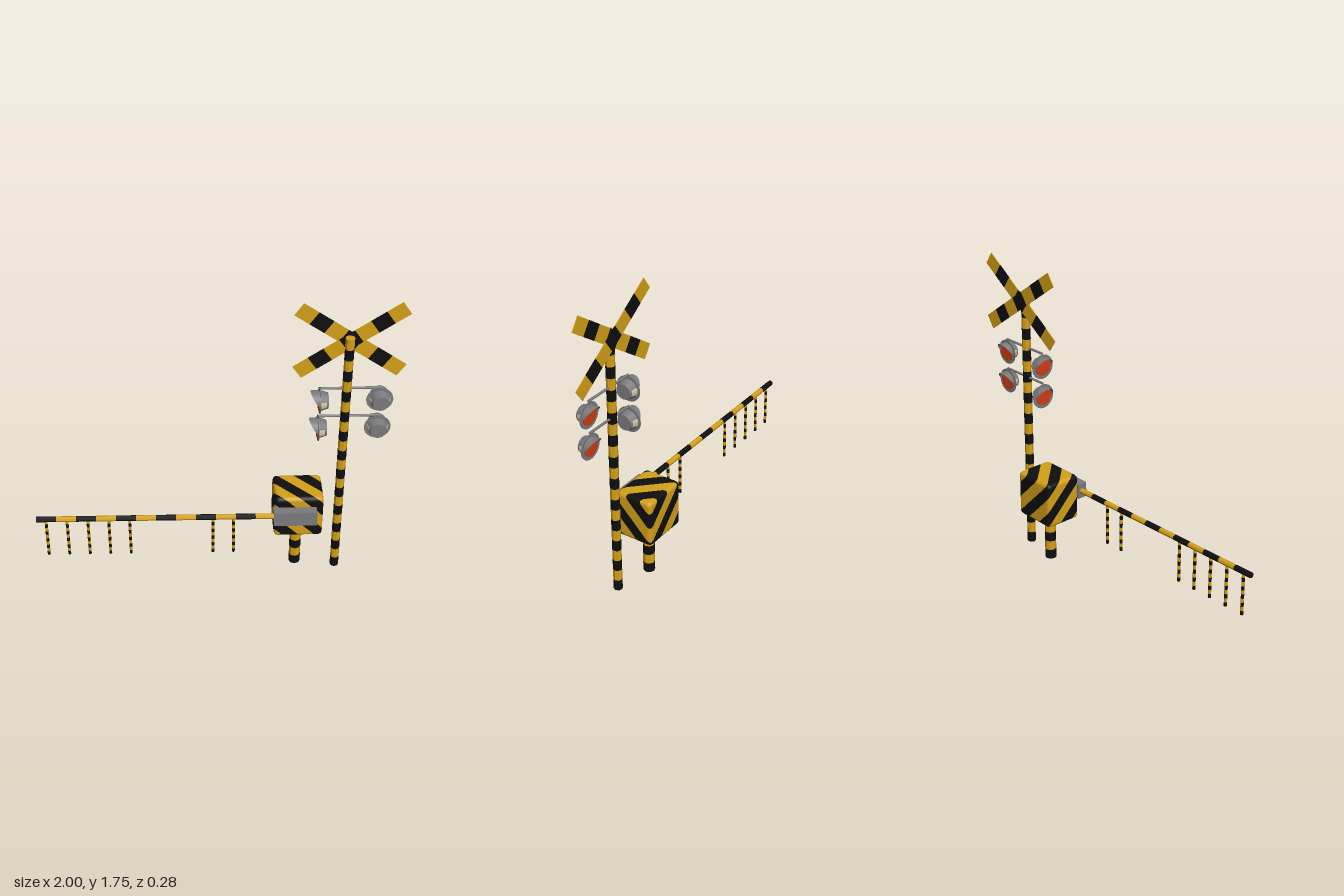
import * as THREE from 'three';
import { mergeGeometries } from 'three/addons/utils/BufferGeometryUtils.js';
import { RoundedBoxGeometry } from 'three/addons/geometries/RoundedBoxGeometry.js';

const paint = (name, color) => {
  const m = new THREE.MeshStandardMaterial({ color });
  m.name = name;
  return m;
};

export function createModel() {
  const yellow = paint('warning yellow', 0xd4a017);
  const black = paint('warning black', 0x0e0e0e);
  const gray = paint('metal gray', 0x7a7a7d);
  gray.side = THREE.DoubleSide;
  const red = paint('signal red', 0xd03c14);
  const cream = paint('cream marker', 0xcfc69c);

  const model = new THREE.Group();
  model.name = 'levelCrossingBarrier';

  const add = (parent, name, geometry, material, x = 0, y = 0, z = 0) => {
    const mesh = new THREE.Mesh(geometry, material);
    mesh.name = name;
    mesh.position.set(x, y, z);
    parent.add(mesh);
    return mesh;
  };

  // Stacks equal pieces along y in alternating colours, starting at y = 0
  const banded = (name, length, count, firstColor, makePiece) => {
    const group = new THREE.Group();
    group.name = name;
    const step = length / count;
    const lists = [[], []];
    for (let i = 0; i < count; i++) {
      const piece = makePiece(step).toNonIndexed();
      piece.translate(0, (i + 0.5) * step, 0);
      piece.computeVertexNormals();
      lists[i % 2].push(piece);
    }
    const colors = firstColor === black ? [black, yellow] : [yellow, black];
    lists.forEach((list, i) => add(group, name + (colors[i] === black ? 'Black' : 'Yellow'), mergeGeometries(list), colors[i]));
    model.add(group);
    return group;
  };
  const rod = (radius, sides) => (h) => new THREE.CylinderGeometry(radius, radius, h, sides);

  // Signal pole and barrier post
  banded('signalPole', 1.56, 24, black, rod(0.025, 8)).position.set(0.69, 0, 0.02);
  banded('barrierPost', 0.29, 5, black, rod(0.033, 8)).position.set(0.46, 0, -0.02);

  // Crossed boards behind the pole top
  for (const side of [-1, 1]) {
    const board = banded(side < 0 ? 'crossBoardRight' : 'crossBoardLeft', 0.67, 7, yellow,
      (h) => new THREE.BoxGeometry(0.084, h, 0.004));
    const angle = THREE.MathUtils.degToRad(55.4) * side;
    board.rotation.z = angle;
    board.position.set(0.7 + Math.sin(angle) * 0.335, 1.525 - Math.cos(angle) * 0.335, side < 0 ? -0.008 : -0.013);
  }

  // Signal lamp, facing -x before turning
  const lamp = (name, x, y, turn) => {
    const holder = new THREE.Group();
    holder.name = name;
    const body = new THREE.Group();
    body.rotation.z = Math.PI / 2;
    holder.add(body);
    add(body, 'backPlate', new THREE.CylinderGeometry(0.072, 0.072, 0.004, 24), gray);
    add(body, 'housing', new THREE.CylinderGeometry(0.057, 0.043, 0.045, 20), gray, 0, -0.0225, 0);
    add(body, 'lens', new THREE.CylinderGeometry(0.052, 0.052, 0.006, 20), red, 0, 0.004, 0);
    for (const start of [0, Math.PI]) {
      add(body, 'sideMarker', new THREE.CylinderGeometry(0.058, 0.048, 0.032, 4, 1, true, start - 0.38, 0.76), cream, 0, -0.018, 0);
    }
    // Visor, longest at the top
    const visor = new THREE.CylinderGeometry(0.057, 0.057, 0.05, 16, 1, true, 0, Math.PI);
    const p = visor.attributes.position;
    for (let i = 0; i < p.count; i++) {
      p.setY(i, p.getY(i) > 0 ? 0.01 + 0.04 * p.getX(i) / 0.057 : 0);
    }
    visor.computeVertexNormals();
    add(body, 'visor', visor, gray);
    holder.position.set(x, y, 0.02);
    holder.rotation.y = turn;
    model.add(holder);
  };
  for (const [level, y] of [['upper', 1.17], ['lower', 0.99]]) {
    lamp(level + 'LampRight', 0.55, y, 0);
    lamp(level + 'LampLeft', 0.87, y, -Math.PI / 2);
    const bar = add(model, level + 'LampBar', new THREE.CylinderGeometry(0.007, 0.007, 0.32, 8), gray, 0.71, y + 0.078, 0.02);
    bar.rotation.z = Math.PI / 2;
  }

  // Machine box, cut into diagonal stripes along x + y - z
  const box = new RoundedBoxGeometry(0.275, 0.275, 0.225, 2, 0.025).toNonIndexed();
  box.translate(0.463, 0.413, -0.025);
  const pos = box.attributes.position, nor = box.attributes.normal;
  const stripeAt = (v) => v.p.x + v.p.y - v.p.z;
  const clip = (poly, limit, sign) => poly.flatMap((a, i) => {
    const b = poly[(i + 1) % poly.length];
    const da = (stripeAt(a) - limit) * sign, db = (stripeAt(b) - limit) * sign;
    const out = da >= 0 ? [a] : [];
    if (da * db < 0) {
      const t = da / (da - db);
      out.push({ p: a.p.clone().lerp(b.p, t), n: a.n.clone().lerp(b.n, t).normalize() });
    }
    return out;
  });
  const parts = [{ p: [], n: [] }, { p: [], n: [] }];
  for (let i = 0; i < pos.count; i += 3) {
    const tri = [0, 1, 2].map((k) => ({
      p: new THREE.Vector3().fromBufferAttribute(pos, i + k),
      n: new THREE.Vector3().fromBufferAttribute(nor, i + k),
    }));
    for (let band = 0; band < 14; band++) {
      const low = 0.215 + band * 0.09;
      const poly = clip(clip(tri, low, 1), low + 0.09, -1);
      for (let k = 1; k < poly.length - 1; k++) {
        for (const v of [poly[0], poly[k], poly[k + 1]]) {
          parts[band % 2].p.push(...v.p);
          parts[band % 2].n.push(...v.n);
        }
      }
    }
  }
  parts.forEach((part, i) => {
    const g = new THREE.BufferGeometry();
    g.setAttribute('position', new THREE.Float32BufferAttribute(part.p, 3));
    g.setAttribute('normal', new THREE.Float32BufferAttribute(part.n, 3));
    add(model, i ? 'machineBoxBlack' : 'machineBoxYellow', g, i ? yellow : black);
    model.children.at(-1).name = i ? 'machineBoxYellow' : 'machineBoxBlack';
  });

  // Arm bracket on the box front
  add(model, 'armBracket', new THREE.BoxGeometry(0.24, 0.09, 0.06), gray, 0.44, 0.445, 0.11);

  // Barrier arm, rising slightly towards its tip
  const arm = banded('barrierArm', 1.33, 12, black, rod(0.016, 8));
  arm.position.set(-1, 0.458, 0.105);
  arm.rotation.z = -Math.PI / 2 - 0.01;

  // Hanging rods, with a gap in the middle
  for (const k of [0, 1, 2, 3, 4, 8, 9]) {
    banded('hangingRod' + k, 0.25, 10, black, rod(0.009, 6)).position.set(-0.947 + k * 0.116, 0.2 - k * 0.001, 0.105);
  }

  return model;
}
